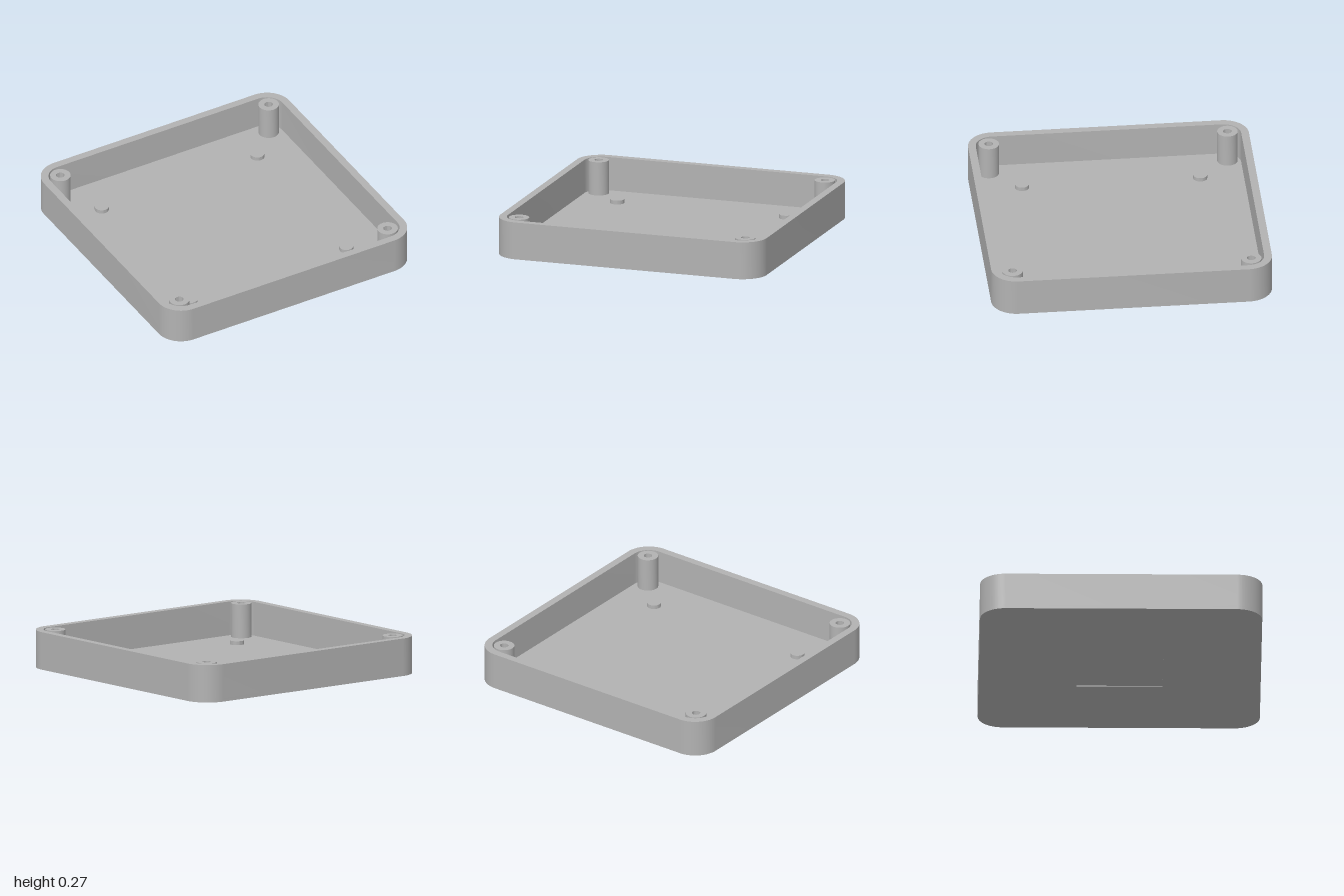
import * as THREE from 'three';
import { toCreasedNormals } from 'three/addons/utils/BufferGeometryUtils.js';

const HEIGHT = 0.27, FLOOR = 0.027, RECESS = 0.005;

// Rounded square outline, half size h and corner radius r
function roundedSquare(h, r, Type = THREE.Shape) {
  const s = new Type(), k = h - r;
  s.moveTo(-k, -h);
  s.lineTo(k, -h);
  s.absarc(k, -k, r, -Math.PI / 2, 0);
  s.absarc(k, k, r, 0, Math.PI / 2);
  s.absarc(-k, k, r, Math.PI / 2, Math.PI);
  s.absarc(-k, -k, r, Math.PI, Math.PI * 1.5);
  return s;
}

function circle(r, Type = THREE.Shape) {
  return new Type().absarc(0, 0, r, 0, Math.PI * 2);
}

// Upright prism of a plan outline between two heights
function slab(shape, y0, y1) {
  const geo = new THREE.ExtrudeGeometry(shape, { depth: y1 - y0, bevelEnabled: false, curveSegments: 20 });
  geo.rotateX(-Math.PI / 2);
  geo.translate(0, y0, 0);
  return toCreasedNormals(geo, Math.PI / 5);
}

export function createModel() {
  const model = new THREE.Group();
  model.name = 'enclosureTray';
  const grey = new THREE.MeshStandardMaterial({ color: 0xb2b2b2 });
  grey.name = 'grey plastic';

  const add = (name, geo, x = 0, z = 0) => {
    const mesh = new THREE.Mesh(geo, grey);
    mesh.name = name;
    mesh.position.set(x, 0, z);
    model.add(mesh);
  };

  // Underside layer with a shallow square recess
  const underside = roundedSquare(1, 0.18);
  const a = 0.305;
  underside.holes.push(new THREE.Path([[-a, -a], [-a, a], [a, a], [a, -a]].map(p => new THREE.Vector2(...p))));
  add('underside', slab(underside, 0, RECESS));

  // Floor and surrounding wall
  add('floor', slab(roundedSquare(1, 0.18), RECESS, FLOOR));
  const wall = roundedSquare(1, 0.18);
  wall.holes.push(roundedSquare(0.945, 0.125, THREE.Path));
  add('wall', slab(wall, FLOOR, HEIGHT));

  // Hollow screw posts in the corners and low support pegs further in
  const post = circle(0.073);
  post.holes.push(circle(0.03, THREE.Path));
  const postGeo = slab(post, FLOOR, HEIGHT);
  const pegGeo = slab(circle(0.05), FLOOR, 0.055);
  for (const sx of [-1, 1]) for (const sz of [-1, 1]) {
    add('screwPost', postGeo, sx * 0.85, sz * 0.85);
    add('supportPeg', pegGeo, sx * 0.635, sz * 0.635);
  }
  return model;
}
